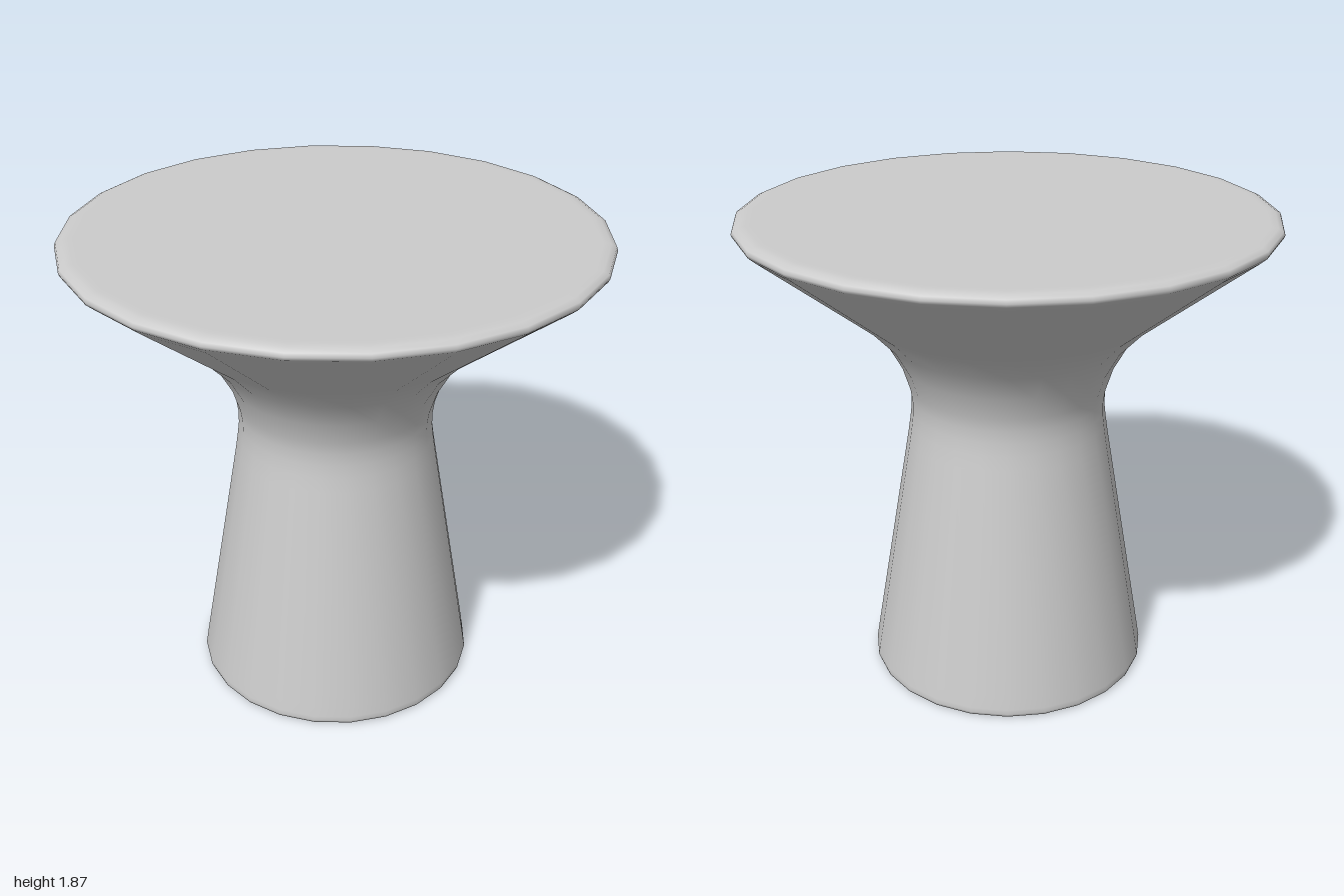
import * as THREE from 'three';

export function createModel() {
  const group = new THREE.Group();
  const material = new THREE.MeshStandardMaterial({ color: 0xcccccc });

  // Half section from the centre of the base to the centre of the top
  const profile = [
    // flat base with a small rounded edge
    [0, 0], [0.53, 0], [0.54, 0], [0.551, 0.006], [0.555, 0.018], [0.552, 0.035],
    // tapering stem
    [0.545, 0.08], [0.392, 0.98],
    // curved neck
    [0.383, 1.04], [0.377, 1.09], [0.377, 1.14], [0.384, 1.19], [0.412, 1.28], [0.47, 1.385], [0.555, 1.475],
    // flared underside
    [0.62, 1.527], [0.97, 1.806],
    // rounded rim and flat top
    [0.995, 1.828], [1, 1.84], [0.995, 1.853], [0.975, 1.863], [0.95, 1.865], [0.93, 1.865], [0, 1.865],
  ].map(([r, y]) => new THREE.Vector2(r, y));

  const table = new THREE.Mesh(new THREE.LatheGeometry(profile, 24), material);
  table.name = 'pedestalTable';
  group.add(table);
  return group;
}
